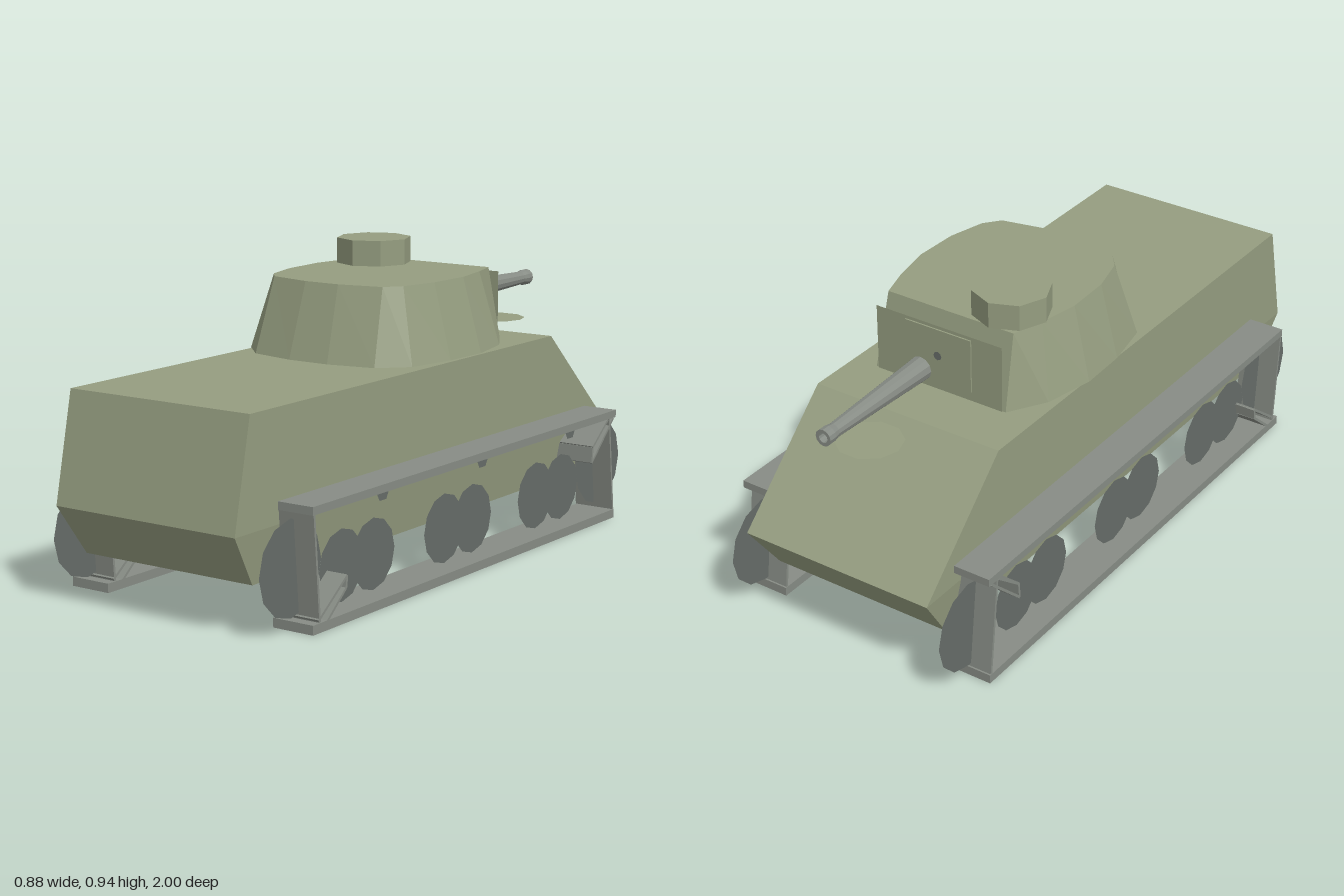
import * as THREE from 'three';

const paint = (color) => new THREE.MeshStandardMaterial({ color, flatShading: true, side: THREE.DoubleSide });
const olive = paint(0x959d80);
const steel = paint(0x878c85);
const rubber = paint(0x666c68);

// Loft through horizontal rings; each ring is its +x half as [x, z], from back to front.
function loft(rings) {
  const full = rings.map(({ y, half }) => [
    ...half.map(([x, z]) => [x, y, z]),
    ...half.slice().reverse().map(([x, z]) => [-x, y, z]),
  ]);
  const pos = [];
  const tri = (...pts) => pts.forEach((p) => pos.push(...p));
  const n = full[0].length;
  const last = full.length - 1;
  const centre = (k) => [0, rings[k].y, rings[k].half.reduce((s, p) => s + p[1], 0) / rings[k].half.length];
  for (let i = 0; i < n; i++) {
    const j = (i + 1) % n;
    for (let k = 0; k < last; k++) {
      tri(full[k][i], full[k + 1][i], full[k + 1][j]);
      tri(full[k][i], full[k + 1][j], full[k][j]);
    }
    tri(centre(0), full[0][i], full[0][j]);
    tri(centre(last), full[last][j], full[last][i]);
  }
  const geo = new THREE.BufferGeometry();
  geo.setAttribute('position', new THREE.Float32BufferAttribute(pos, 3));
  geo.computeVertexNormals();
  return geo;
}

export function createModel() {
  const model = new THREE.Group();
  model.name = 'tank';
  const add = (name, geo, mat, x = 0, y = 0, z = 0, parent = model) => {
    const mesh = new THREE.Mesh(geo, mat);
    mesh.name = name;
    mesh.position.set(x, y, z);
    parent.add(mesh);
    return mesh;
  };

  // Hull with sloped nose and tapered belly
  add('hull', loft([
    { y: 0.14, half: [[0.3, -0.87], [0.3, 0.9]] },
    { y: 0.295, half: [[0.32, -0.98], [0.32, 1]] },
    { y: 0.622, half: [[0.32, -0.63], [0.32, 0.93]] },
  ]), olive);

  // Faceted turret
  add('turret', loft([
    { y: 0.63, half: [[0.23, -0.465], [0.3, -0.35], [0.335, -0.19], [0.33, -0.03], [0.3, 0.13], [0.22, 0.21], [0.07, 0.24]] },
    { y: 0.86, half: [[0.22, -0.41], [0.25, -0.31], [0.275, -0.18], [0.27, -0.03], [0.24, 0.09], [0.2, 0.14], [0.06, 0.17]] },
  ]), olive);
  add('cupola', new THREE.CylinderGeometry(0.118, 0.118, 0.08, 8), olive, -0.143, 0.9, -0.305);

  // Upright gun shield with a raised panel and a small sight port
  add('gunShield', new THREE.PlaneGeometry(0.44, 0.21), olive, 0, 0.735, -0.468);
  add('shieldPanel', new THREE.BoxGeometry(0.23, 0.17, 0.012), olive, 0, 0.745, -0.467);
  add('sightPort', new THREE.CircleGeometry(0.014, 8), rubber, 0, 0.745, -0.475);

  // Tapered barrel with a slightly flared, hollow muzzle
  const barrelProfile = [[0, 0], [0.037, 0], [0.035, 0.05], [0.022, 0.4], [0.026, 0.42], [0.026, 0.445], [0.015, 0.445], [0.015, 0.39], [0, 0.39]];
  const barrel = add('gunBarrel', new THREE.LatheGeometry(barrelProfile.map(([r, h]) => new THREE.Vector2(r, h)), 12), steel, 0, 0.745, -0.555);
  barrel.rotation.x = -Math.PI / 2;

  // Flat driver's hatch above the nose
  const hatch = add('driverHatch', new THREE.CircleGeometry(0.1, 10), olive, 0, 0.632, -0.8);
  hatch.rotation.x = -Math.PI / 2;

  // Running gear, the same on both sides
  const wheels = [[0.82, 0.18, 0.141], [-0.855, 0.18, 0.141]];
  for (const z of [0.583, 0.428, 0.06, -0.095, -0.465, -0.618]) wheels.push([z, 0.138, 0.107]);
  for (const z of [0.38, -0.15, -0.675]) wheels.push([z, 0.317, 0.034]);

  for (const side of [1, -1]) {
    const gear = new THREE.Group();
    gear.name = side > 0 ? 'leftRunningGear' : 'rightRunningGear';
    model.add(gear);
    const x = side * 0.37;

    // Strip of track between two points [z, y]
    const strip = (name, [z0, y0], [z1, y1], thick) => {
      const length = Math.hypot(z1 - z0, y1 - y0);
      const mesh = add(name, new THREE.BoxGeometry(0.137, thick, length), steel, x, (y0 + y1) / 2, (z0 + z1) / 2, gear);
      mesh.rotation.x = -Math.atan2(y1 - y0, z1 - z0);
    };
    strip('upperTrack', [-0.85, 0.348], [0.81, 0.348], 0.024);
    strip('lowerTrack', [-0.85, 0.014], [0.81, 0.014], 0.028);
    strip('frontTrackEnd', [-0.843, 0.03], [-0.808, 0.345], 0.008);
    strip('rearTrackEnd', [0.778, 0.03], [0.803, 0.345], 0.008);

    // Loose slanted links at opposite corners of the loop
    strip('rearLink', [0.785, 0.035], [0.65, 0.135], 0.008);
    strip('rearLink', [0.75, 0.02], [0.655, 0.1], 0.008);
    strip('rearLink', [0.65, 0.135], [0.655, 0.1], 0.008);
    strip('frontLink', [-0.835, 0.335], [-0.7, 0.21], 0.008);
    strip('frontLink', [-0.8, 0.335], [-0.705, 0.26], 0.008);
    strip('frontLink', [-0.7, 0.21], [-0.705, 0.26], 0.008);

    // Thin wheel discs
    for (const [z, y, r] of wheels) {
      const disc = add(r < 0.05 ? 'returnRoller' : r > 0.12 ? 'endWheel' : 'roadWheel',
        new THREE.CircleGeometry(r, r < 0.05 ? 6 : 12), rubber, x, y, z, gear);
      disc.rotation.y = side * Math.PI / 2;
    }
  }
  return model;
}
